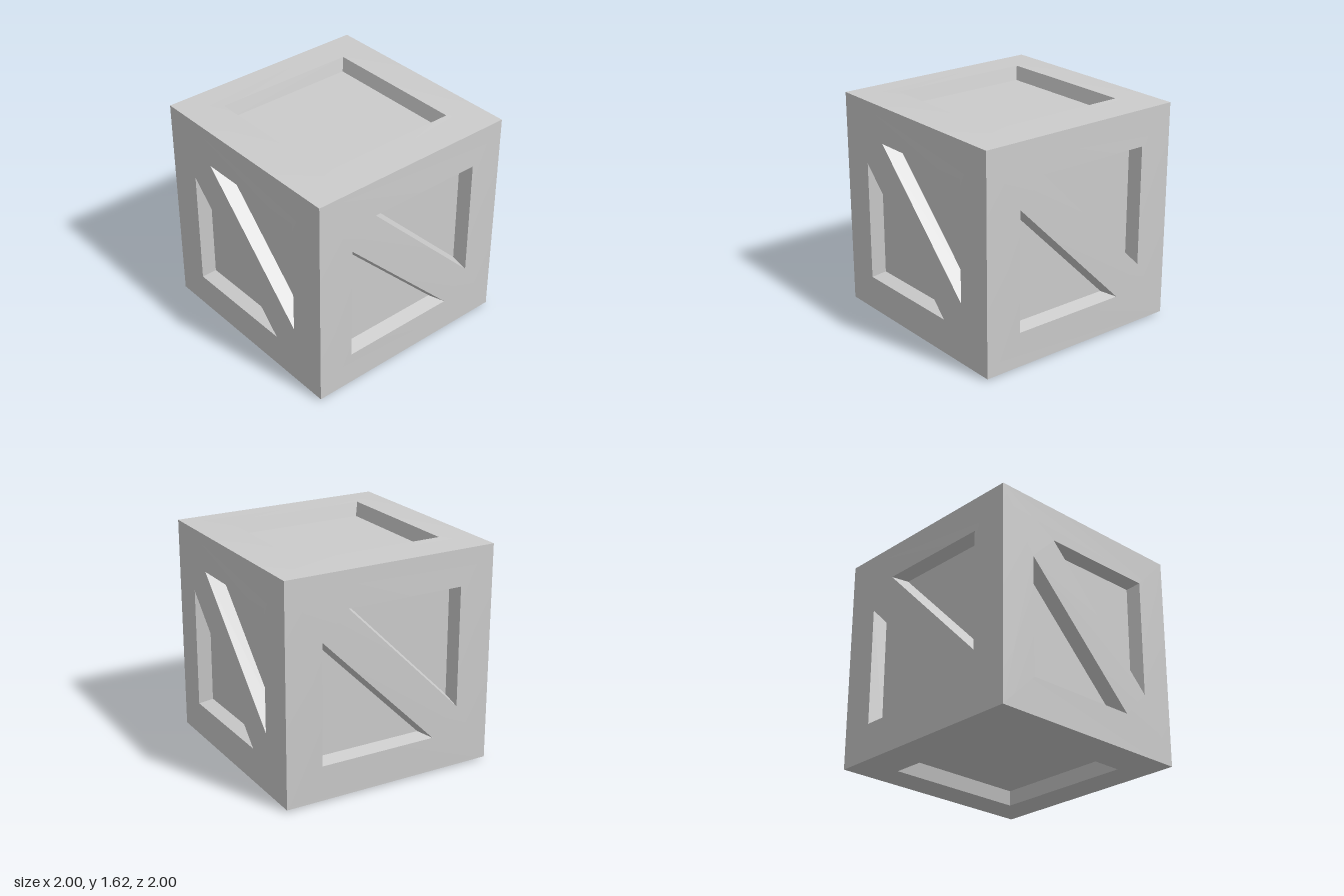
import * as THREE from 'three';
import { toCreasedNormals } from 'three/addons/utils/BufferGeometryUtils.js';

const HALF = 0.8;      // half width at the crate's corners
const HALF_Y = 0.795;  // half height at the corners
const RISE = 0.81;     // level of the slightly raised boards
const FLOOR = 0.71;    // level of the sunken panels
const TAPER = 0.025;   // slope of the recess walls
const IN = 0.535, CUT = 0.34;

const material = new THREE.MeshStandardMaterial({ color: 0xcccccc });

// Turns flat or slightly bent polygons (counter-clockwise) into one mesh
function polygonMesh(name, polygons) {
  const pos = [];
  for (const p of polygons)
    for (let i = 1; i < p.length - 1; i++) pos.push(...p[0], ...p[i], ...p[i + 1]);
  const g = new THREE.BufferGeometry();
  g.setAttribute('position', new THREE.Float32BufferAttribute(pos, 3));
  const mesh = new THREE.Mesh(toCreasedNormals(g, 0.4), material);
  mesh.name = name;
  return mesh;
}

// Moves every corner of a convex outline inward by t
function inset(points, t) {
  const n = points.length;
  const normals = points.map((p, i) => {
    const q = points[(i + 1) % n];
    return new THREE.Vector2(p[1] - q[1], q[0] - p[0]).normalize();
  });
  return points.map((p, i) => {
    const a = normals[(i + n - 1) % n], b = normals[i];
    const k = t / (1 + a.dot(b));
    return [p[0] + (a.x + b.x) * k, p[1] + (a.y + b.y) * k];
  });
}

// Sunken panel: sloping walls and a floor
function recess(outline) {
  const top = outline.map(([x, y]) => [x, y, RISE]);
  const base = inset(outline, TAPER).map(([x, y]) => [x, y, FLOOR]);
  const walls = top.map((p, i) => {
    const j = (i + 1) % top.length;
    return [p, top[j], base[j], base[i]];
  });
  const group = new THREE.Group();
  group.name = 'recess';
  group.add(polygonMesh('recessWalls', walls), polygonMesh('sunkenPanel', [base]));
  return group;
}

// Corners of one crate face: top left, bottom left, bottom right, top right
const faceCorners = (h, depth) =>
  [[-HALF, h, depth], [-HALF, -h, depth], [HALF, -h, depth], [HALF, h, depth]];

// Side with a diagonal brace between two triangular recesses
function makeSide() {
  const side = new THREE.Group();
  const [TL, BL, BR, TR] = faceCorners(HALF_Y, HALF);
  const upper = [[-CUT, IN], [IN, -CUT], [IN, IN]];
  const lower = [[-IN, CUT], [-IN, -IN], [CUT, -IN]];
  const [a1, a3, a2] = upper.map(([x, y]) => [x, y, RISE]);
  const [b1, b3, b2] = lower.map(([x, y]) => [x, y, RISE]);
  side.add(polygonMesh('sideFrame', [
    [TL, a1, a2, TR], [TR, a2, a3, BR], [BR, b2, b3, BL], [BL, b3, b1, TL],
    [TL, b1, a1], [BR, a3, b2], [b1, b2, a3, a1],
  ]), recess(upper), recess(lower));
  return side;
}

// Lid or base with one square recess
function makeCap() {
  const cap = new THREE.Group();
  const outer = faceCorners(HALF, HALF_Y);
  const square = [[-IN, IN], [-IN, -IN], [IN, -IN], [IN, IN]];
  const inner = square.map(([x, y]) => [x, y, RISE]);
  cap.add(polygonMesh('capFrame', outer.map((p, i) => {
    const j = (i + 1) % 4;
    return [p, outer[j], inner[j], inner[i]];
  })), recess(square));
  return cap;
}

export function createModel() {
  const model = new THREE.Group();
  model.name = 'crate';

  ['frontSide', 'leftSide', 'backSide', 'rightSide'].forEach((name, i) => {
    const side = makeSide();
    side.name = name;
    side.rotation.y = i * Math.PI / 2;
    model.add(side);
  });

  for (const [name, turn] of [['lid', -1], ['base', 1]]) {
    const cap = makeCap();
    cap.name = name;
    cap.rotation.x = turn * Math.PI / 2;
    model.add(cap);
  }

  // The crate stands turned on the ground
  model.rotation.y = 0.3;
  model.position.y = RISE;
  return model;
}
